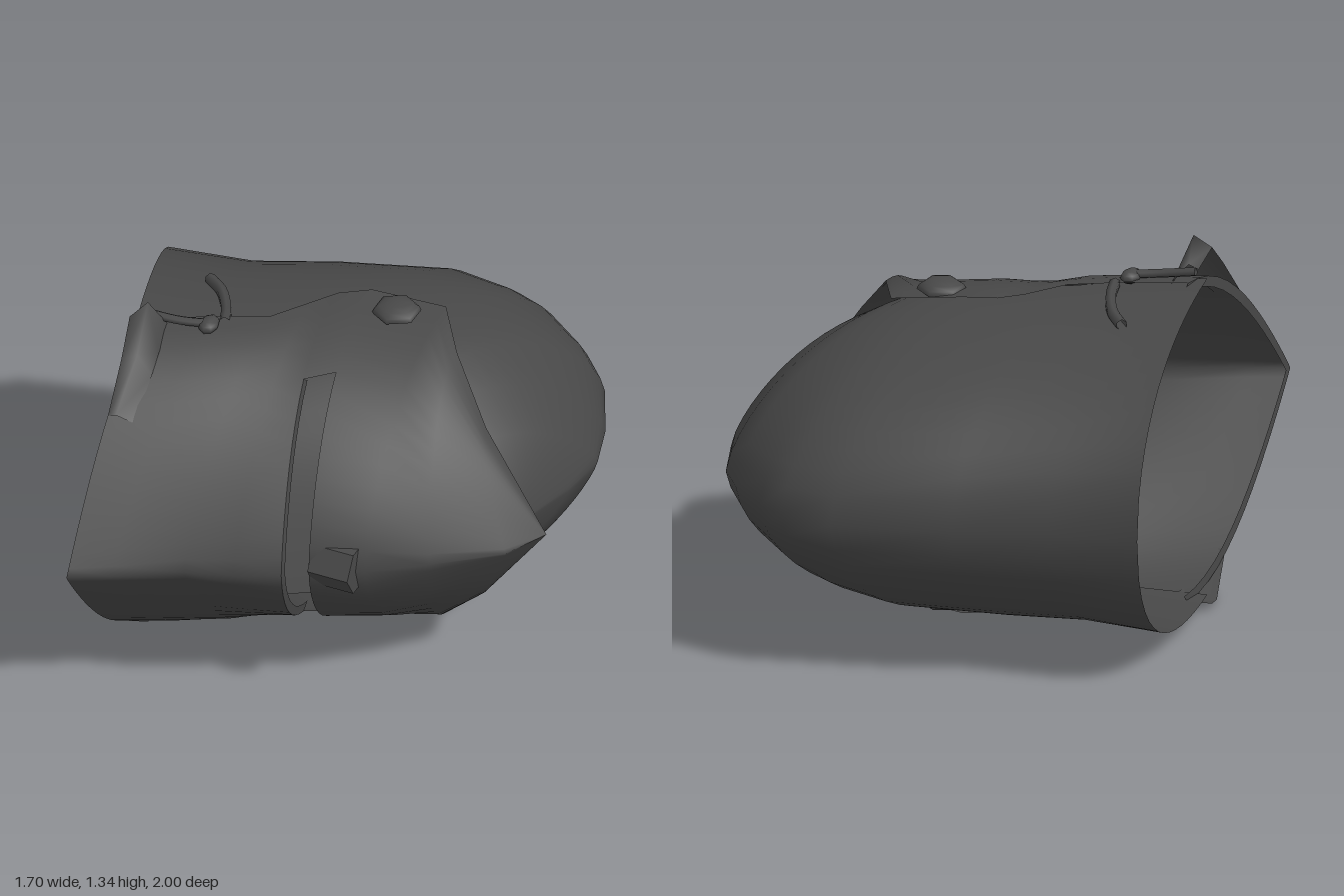
import * as THREE from 'three';

const MID = 0.62; // height of the symmetry plane
const N = 14; // columns on each half of a shell

// One bent section from the lower side, round the ridge, to the upper side.
// row: ridge x, ridge z, side x, side z, side half-width, roundness
function section([rx, rz, sx, sz, w, round], bend) {
  const pts = [];
  for (let i = -N; i <= N; i++) {
    const s = Math.pow(Math.abs(i) / N, 1.4);
    const k = Math.pow(1 - s, bend);
    const y = Math.sign(i) * w * Math.sin(Math.pow(s, round) * Math.PI / 2);
    pts.push(new THREE.Vector3(sx + (rx - sx) * k, MID + y, rz + (sz - rz) * s));
  }
  return pts;
}

// Joins sections into a smooth surface, leaving out the quads chosen by skip
function loft(rows, skip = () => false) {
  const cols = rows[0].length, index = [];
  for (let r = 0; r < rows.length - 1; r++) {
    for (let c = 0; c < cols - 1; c++) {
      if (skip(r, c)) continue;
      const a = r * cols + c, b = a + cols;
      index.push(a, a + 1, b, b, a + 1, b + 1);
    }
  }
  const g = new THREE.BufferGeometry().setFromPoints(rows.flat());
  g.setIndex(index);
  g.computeVertexNormals();
  return g;
}

export function createModel() {
  const group = new THREE.Group();
  const steel = new THREE.MeshStandardMaterial({ color: 0x484848, side: THREE.DoubleSide });
  steel.name = 'dark steel';
  const add = (name, geometry, x = 0, y = 0, z = 0) => {
    const m = new THREE.Mesh(geometry, steel);
    m.name = name;
    m.position.set(x, y, z);
    group.add(m);
    return m;
  };
  const v = (x, y, z) => new THREE.Vector3(x, y, z);

  // Skull, from the neck opening over the crown to the brow
  const skull = [
    [-0.85, -0.60, -0.59, 0.33, 0.585, 0.49],
    [-0.55, -0.69, -0.38, 0.24, 0.57, 0.54],
    [-0.26, -0.85, -0.20, 0.12, 0.555, 0.57],
    [0.13, -1.00, 0.00, 0.02, 0.54, 0.58],
    [0.33, -0.99, 0.10, 0.00, 0.53, 0.6],
    [0.43, -0.96, 0.18, 0.00, 0.52, 0.61],
    [0.59, -0.85, 0.26, 0.00, 0.505, 0.63],
    [0.68, -0.76, 0.33, 0.00, 0.47, 0.66],
    [0.78, -0.55, 0.43, 0.03, 0.40, 0.7],
    [0.83, -0.38, 0.55, 0.10, 0.29, 0.74],
    [0.81, -0.20, 0.65, 0.12, 0.17, 0.8],
    [0.72, 0.13, 0.72, 0.13, 0.0, 1],
  ].map((r) => section(r, 1));
  add('skull', loft(skull));

  // Pointed visor, from the chin edge to the brow peak, with an eye slit
  const visor = [
    [-0.53, 1.00, -0.56, 0.25, 0.59, 0.96],
    [-0.40, 0.93, -0.38, 0.15, 0.592, 0.93],
    [-0.18, 0.80, -0.20, 0.05, 0.582, 0.85],
    [-0.02, 0.75, -0.11, -0.09, 0.577, 0.78],
    [0.13, 0.68, -0.05, -0.17, 0.58, 0.72],
    [0.20, 0.61, 0.05, -0.23, 0.585, 0.67],
    [0.38, 0.54, 0.30, -0.29, 0.55, 0.67],
    [0.56, 0.41, 0.43, -0.10, 0.52, 0.85],
    [0.77, 0.24, 0.60, 0.03, 0.34, 1],
    [0.85, 0.08, 0.85, 0.08, 0.0, 1],
  ].map((r) => section(r, 1.6));
  const SLIT = 9; // half-length of the slit in columns
  add('visor', loft(visor, (r, c) => r === 4 && c >= N - SLIT && c < N + SLIT));

  // Inward lips along the slit and the chin edge
  const lip = (name, pts) => add(name, loft([pts, pts.map((p) =>
    v(p.x, MID + (p.y - MID) * 0.95, p.z - 0.03))]));
  lip('lowerSlitLip', visor[4].slice(N - SLIT, N + SLIT + 1));
  lip('upperSlitLip', visor[5].slice(N - SLIT, N + SLIT + 1));
  lip('chinLip', visor[0]);

  // Chevron tab on the ridge above the slit
  const chevron = new THREE.Shape([[0.62, 0], [0.57, 0.08], [0.51, 0.08], [0.54, 0],
    [0.51, -0.08], [0.57, -0.08]].map(([z, y]) => new THREE.Vector2(z, y)));
  const tab = add('ridgeTab', new THREE.ExtrudeGeometry(chevron, { depth: 0.15, bevelEnabled: false }),
    0.35, MID, 0);
  tab.rotation.y = -Math.PI / 2;

  // Low six-sided domed pivots
  for (const side of [-1, 1]) {
    const pivot = add('pivot', new THREE.SphereGeometry(0.085, 6, 4, 0, Math.PI * 2, 0, Math.PI / 2),
      0.17, MID + side * 0.57, -0.17);
    pivot.scale.y = 0.46;
    pivot.rotation.set(side < 0 ? Math.PI : 0, Math.PI / 6, 0);
  }

  // Latch on the upper side: hooked spring, rod and knob
  const tube = (name, pts, radius) => add(name, new THREE.TubeGeometry(new THREE.CatmullRomCurve3(
    pts.map((p) => v(...p))), 10, radius, 6));
  tube('latchSpring', [[-0.50, 1.17, -0.10], [-0.43, 1.18, -0.04], [-0.36, 1.19, 0.07], [-0.33, 1.2, 0.15]], 0.02);
  tube('latchRod', [[-0.58, 1.25, 0.27], [-0.46, 1.23, 0.24], [-0.36, 1.22, 0.20]], 0.016);
  const knob = add('latchKnob', new THREE.SphereGeometry(0.045, 8, 6), -0.365, 1.215, 0.20);
  knob.scale.set(0.75, 0.55, 1.1);

  // Flared thumb plate rising from the chin edge on the upper side
  add('thumbPlate', loft([
    [v(-0.59, 1.26, 0.27), v(-0.58, 1.30, 0.38), v(-0.56, 1.20, 0.49), v(-0.55, 1.05, 0.62)],
    [v(-0.55, 1.27, 0.27), v(-0.53, 1.35, 0.34), v(-0.51, 1.22, 0.47), v(-0.52, 1.06, 0.62)],
    [v(-0.50, 1.20, 0.24), v(-0.47, 1.18, 0.38), v(-0.46, 1.14, 0.46), v(-0.46, 1.03, 0.60)],
  ]));

  // Turned-out corner on the lower side of the chin edge
  add('chinCorner', loft([
    [v(-0.65, 0.04, 0.26), v(-0.61, 0.01, 0.36), v(-0.55, 0.12, 0.52)],
    [v(-0.50, 0.035, 0.20), v(-0.50, 0.05, 0.40), v(-0.50, 0.13, 0.52)],
  ]));

  return group;
}
